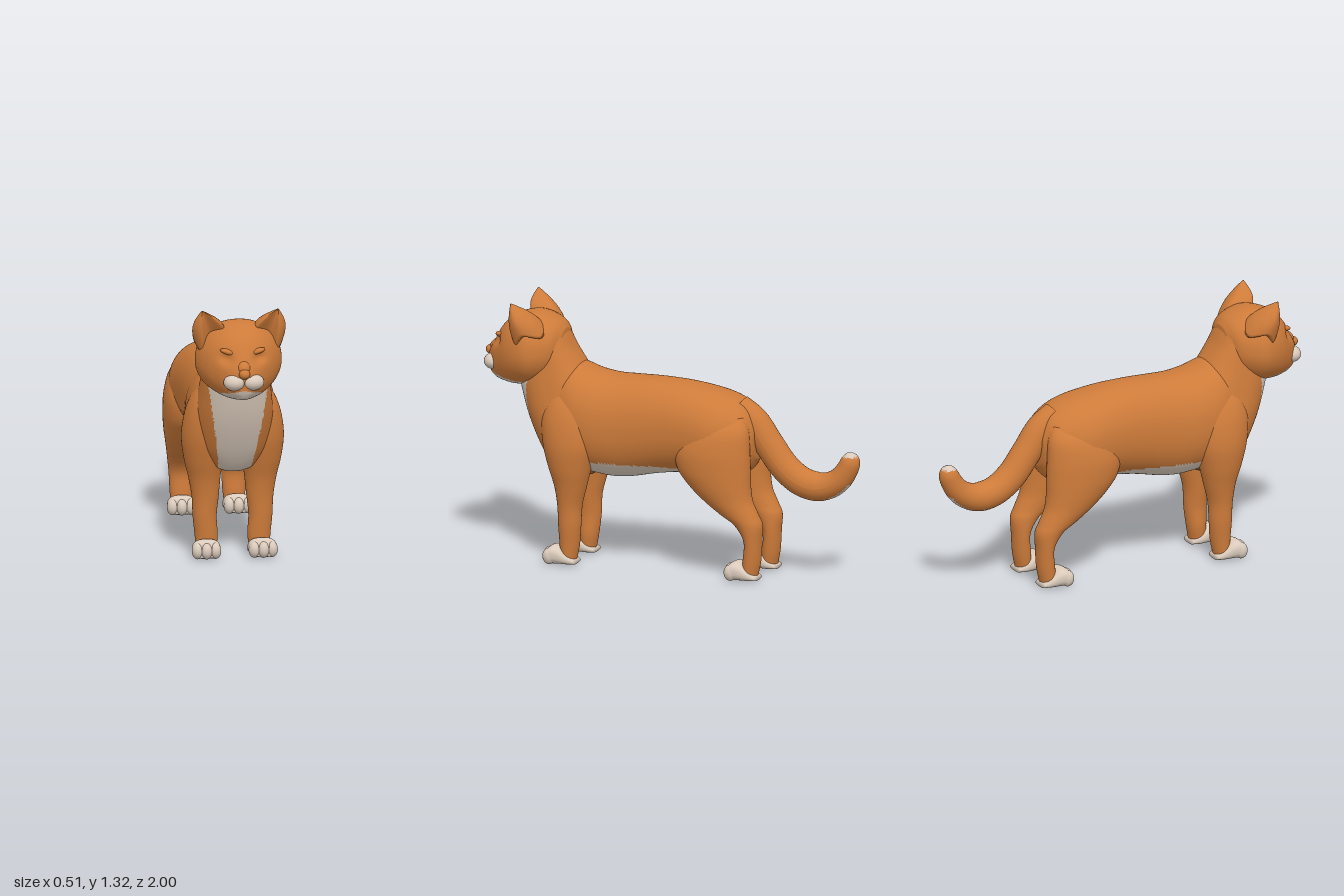
import * as THREE from 'three';

const orange = new THREE.MeshStandardMaterial({ color: 0xcd7b3a });
orange.name = 'orange fur';
const cream = new THREE.MeshStandardMaterial({ color: 0xdacabb });
cream.name = 'cream fur';

// Closed smooth skin over a list of rings (each counter-clockwise about the direction of travel)
function skin(rings) {
  const n = rings.length, m = rings[0].length, pos = [], idx = [];
  rings.flat().forEach(p => pos.push(p.x, p.y, p.z));
  for (const r of [rings[0], rings[n - 1]]) {
    const c = r.reduce((s, p) => s.add(p), new THREE.Vector3()).divideScalar(m);
    pos.push(c.x, c.y, c.z);
  }
  for (let j = 0; j < m; j++) {
    const k = (j + 1) % m;
    for (let i = 0; i < n - 1; i++) {
      const a = i * m + j, b = i * m + k;
      idx.push(a, b, b + m, a, b + m, a + m);
    }
    idx.push(n * m, k, j, n * m + 1, (n - 1) * m + j, (n - 1) * m + k);
  }
  const g = new THREE.BufferGeometry();
  g.setAttribute('position', new THREE.Float32BufferAttribute(pos, 3));
  g.setIndex(idx);
  g.computeVertexNormals();
  return g;
}

// Loft of superellipses. axis 'y': rows are [y, zMin, zMax, xMin, xMax]; axis 'z': [z, yMin, yMax, xMin, xMax]
function loft(axis, rows, { power = 2, steps = 6, sides = 48 } = {}) {
  const spline = new THREE.CubicInterpolant(rows.map((_, i) => i), rows.flat(), 5, new Float32Array(5));
  const bend = v => Math.sign(v) * Math.abs(v) ** (2 / power);
  const rings = [];
  const count = (rows.length - 1) * steps;
  for (let i = 0; i <= count; i++) {
    const [t, a0, a1, x0, x1] = spline.evaluate(i / steps);
    rings.push(Array.from({ length: sides }, (_, j) => {
      const q = j / sides * Math.PI * 2;
      const a = (a0 + a1) / 2 + (a1 - a0) / 2 * bend(Math.cos(q));
      const s = (x1 - x0) / 2 * bend(Math.sin(q)), x = (x0 + x1) / 2;
      return axis === 'y' ? new THREE.Vector3(x + s, t, a) : new THREE.Vector3(x - s, a, t);
    }));
  }
  return skin(rings);
}

// Split faces into orange and cream groups by a rule on the face centre
function paint(g, isCream) {
  const p = g.attributes.position, old = g.index.array, sets = [[], []];
  for (let i = 0; i < old.length; i += 3) {
    const f = [old[i], old[i + 1], old[i + 2]];
    const mid = get => f.reduce((s, v) => s + p[get](v), 0) / 3;
    sets[isCream(mid('getX'), mid('getY'), mid('getZ')) ? 1 : 0].push(...f);
  }
  g.setIndex(sets.flat());
  g.addGroup(0, sets[0].length, 0);
  g.addGroup(sets[0].length, sets[1].length, 1);
  return g;
}

const symmetric = rows => rows.map(([t, a, b, w]) => [t, a, b, -w, w]);
const onSide = (rows, s) => rows.map(([t, a, b, x0, x1]) => (s > 0 ? [t, a, b, x0, x1] : [t, a, b, -x1, -x0]));

export function createModel() {
  const model = new THREE.Group();
  model.name = 'cat';
  const add = (name, geo, mat, parent = model) => {
    const mesh = new THREE.Mesh(geo, mat);
    mesh.name = name;
    parent.add(mesh);
    return mesh;
  };
  const blob = (name, mat, [x, y, z], [rx, ry, rz], parent) => {
    const mesh = add(name, new THREE.SphereGeometry(1, 24, 16), mat, parent);
    mesh.position.set(x, y, z);
    mesh.scale.set(rx, ry, rz);
    return mesh;
  };

  // Torso with a cream belly
  const torso = loft('z', symmetric([
    [-0.465, 0.6, 0.79, 0.08], [-0.42, 0.53, 0.855, 0.16], [-0.35, 0.49, 0.9, 0.2], [-0.25, 0.475, 0.93, 0.225],
    [-0.1, 0.495, 0.955, 0.213], [0.05, 0.48, 0.965, 0.205], [0.2, 0.45, 0.965, 0.207], [0.3, 0.443, 0.965, 0.215],
    [0.4, 0.455, 0.98, 0.222], [0.5, 0.47, 1.01, 0.21], [0.58, 0.52, 0.98, 0.17], [0.64, 0.6, 0.9, 0.1],
  ]), { power: 2.2, sides: 80 });
  add('torso', paint(torso, (x, y, z) => y < 0.535 && z > -0.16 && z < 0.46), [orange, cream]);

  // Neck and chest with a cream bib
  const neck = loft('y', symmetric([
    [0.44, 0.42, 0.57, 0.06], [0.47, 0.38, 0.61, 0.12], [0.55, 0.35, 0.665, 0.17], [0.65, 0.33, 0.715, 0.19],
    [0.75, 0.33, 0.755, 0.195], [0.85, 0.38, 0.785, 0.182], [0.92, 0.42, 0.8, 0.172], [1.0, 0.475, 0.8, 0.16],
    [1.08, 0.53, 0.78, 0.15], [1.16, 0.57, 0.76, 0.13], [1.21, 0.61, 0.72, 0.09],
  ]), { power: 2.4, sides: 96 });
  add('neckAndChest', paint(neck, (x, y, z) => z > 0.52 && y < 0.92 && Math.abs(x) < 0.08 + (y - 0.45) * 0.15),
    [orange, cream]);

  // Head: wide cheeks, narrowing skull, hollows for the closed eyes, cream jaw
  const head = loft('z', symmetric([
    [0.565, 1.02, 1.17, 0.08], [0.6, 0.95, 1.21, 0.155], [0.66, 0.905, 1.24, 0.2], [0.72, 0.88, 1.253, 0.219],
    [0.78, 0.873, 1.245, 0.205], [0.84, 0.873, 1.22, 0.172], [0.89, 0.88, 1.175, 0.13], [0.925, 0.89, 1.12, 0.095],
    [0.955, 0.91, 1.065, 0.06], [0.97, 0.94, 1.04, 0.035],
  ]), { power: 2.2, sides: 80 });
  const p = head.attributes.position;
  for (let i = 0; i < p.count; i++) {
    const x = p.getX(i), y = p.getY(i), z = p.getZ(i);
    p.setX(i, x * (1 + 0.35 * (1.04 - y) * (y < 1.04 ? 0.4 : 1)));
    if (z > 0.8) {
      const d = ((Math.abs(x) - 0.085) / 0.035) ** 2 + ((y - 1.095) / 0.025) ** 2;
      p.setZ(i, z - 0.022 * Math.exp(-d));
    }
  }
  head.computeVertexNormals();
  add('head', paint(head, (x, y, z) => z > 0.74 && y < 0.945 - 0.3 * Math.abs(x)), [orange, cream]);
  blob('chin', cream, [0, 0.925, 0.905], [0.055, 0.042, 0.055]);
  blob('noseBridge', orange, [0, 1.055, 0.93], [0.036, 0.035, 0.05]).rotation.x = 0.5;
  blob('noseTip', orange, [0, 1.028, 0.968], [0.028, 0.026, 0.032]);

  for (const s of [1, -1]) {
    const side = s > 0 ? 'left' : 'right';
    blob(side + 'Muzzle', cream, [s * 0.046, 0.981, 0.94], [0.056, 0.042, 0.05]);
    blob(side + 'Brow', orange, [s * 0.075, 1.128, 0.895], [0.04, 0.014, 0.02]).rotation.z = s * 0.3;

    // Ear: cupped ring drawn up to a tip
    const tip = new THREE.Vector3(0.192, 1.32, 0.795), hub = new THREE.Vector3(0.15, 1.16, 0.71);
    const base = new THREE.CatmullRomCurve3([
      [0.07, 1.2, 0.775], [0.14, 1.15, 0.735], [0.18, 1.09, 0.77], [0.226, 1.16, 0.72], [0.17, 1.15, 0.635], [0.09, 1.21, 0.66],
    ].map(v => new THREE.Vector3(...v)), true).getPoints(36).slice(0, -1);
    const rings = Array.from({ length: 13 }, (_, i) => {
      const t = i / 12 * 0.985;
      const ring = base.map(b => {
        const out = b.clone().sub(hub).setY(0).multiplyScalar(0.3 * Math.sin(Math.PI * t));
        const v = b.clone().lerp(tip, t).add(out);
        return v.setX(v.x * s);
      });
      return s > 0 ? ring : ring.reverse();
    });
    add(side + 'Ear', skin(rings), orange);

    // Legs
    add(side + 'FrontLeg', loft('y', onSide([
      [0.02, 0.465, 0.545, 0.085, 0.185], [0.1, 0.45, 0.55, 0.075, 0.19], [0.2, 0.44, 0.555, 0.08, 0.2],
      [0.3, 0.435, 0.56, 0.07, 0.205], [0.4, 0.41, 0.575, 0.06, 0.222], [0.5, 0.385, 0.605, 0.045, 0.245],
      [0.62, 0.36, 0.635, 0.03, 0.257], [0.75, 0.37, 0.645, 0.03, 0.236], [0.85, 0.41, 0.62, 0.03, 0.19],
      [0.92, 0.47, 0.56, 0.06, 0.12],
    ], s)), orange);
    add(side + 'HindLeg', loft('y', onSide([
      [0.02, -0.505, -0.425, 0.085, 0.185], [0.1, -0.52, -0.43, 0.075, 0.19], [0.2, -0.525, -0.435, 0.07, 0.195],
      [0.28, -0.53, -0.385, 0.065, 0.205], [0.33, -0.51, -0.31, 0.06, 0.215], [0.4, -0.478, -0.215, 0.045, 0.23],
      [0.47, -0.467, -0.14, 0.03, 0.243], [0.55, -0.465, -0.08, 0.02, 0.25], [0.65, -0.46, -0.07, 0.02, 0.246],
      [0.75, -0.45, -0.14, 0.03, 0.215], [0.82, -0.42, -0.25, 0.05, 0.15],
    ], s)), orange);

    // Paws with three toes each
    for (const [name, dz] of [['Front', 0], ['Hind', -0.97]]) {
      const paw = new THREE.Group();
      paw.name = side + name + 'Paw';
      paw.position.z = dz;
      model.add(paw);
      add('pad', loft('z', onSide([
        [0.46, 0.003, 0.025, 0.09, 0.185], [0.5, 0, 0.055, 0.074, 0.2], [0.55, 0, 0.092, 0.07, 0.21],
        [0.59, 0, 0.09, 0.072, 0.213], [0.615, 0.008, 0.06, 0.085, 0.2],
      ], s), { power: 2.6, sides: 32 }), cream, paw);
      [[0.098, 0.593], [0.143, 0.6], [0.187, 0.59]].forEach(([x, z]) =>
        blob('toe', cream, [s * x, 0.041, z], [0.029, 0.041, 0.034], paw));
    }
  }

  // Tail: tapered tube with a cream tip and a cream streak beneath
  const path = new THREE.CatmullRomCurve3([
    [0.84, -0.35], [0.78, -0.435], [0.67, -0.515], [0.555, -0.605], [0.49, -0.7], [0.477, -0.8], [0.515, -0.885],
    [0.59, -0.94], [0.667, -0.962],
  ].map(([y, z]) => new THREE.Vector3(0, y, z)));
  const rows = 80, sides = 32;
  const tail = new THREE.TubeGeometry(path, rows, 1, sides);
  const tp = tail.attributes.position, v = new THREE.Vector3(), streak = new Set();
  for (let i = 0; i < tp.count; i++) {
    const u = Math.floor(i / (sides + 1)) / rows, c = path.getPointAt(u);
    const r = (0.074 - 0.028 * Math.max(0, u - 0.65) / 0.35) * Math.sqrt(Math.max(0, 1 - (Math.max(0, u - 0.93) / 0.07) ** 2));
    v.fromBufferAttribute(tp, i).sub(c).multiplyScalar(r).add(c);
    tp.setXYZ(i, v.x, v.y, v.z);
  }
  tail.computeVertexNormals();
  add('tail', paint(tail, (x, y, z) => z < -0.85 && (y > 0.645 || (Math.abs(x) < 0.03 && y < 0.5))), [orange, cream]);

  return model;
}
